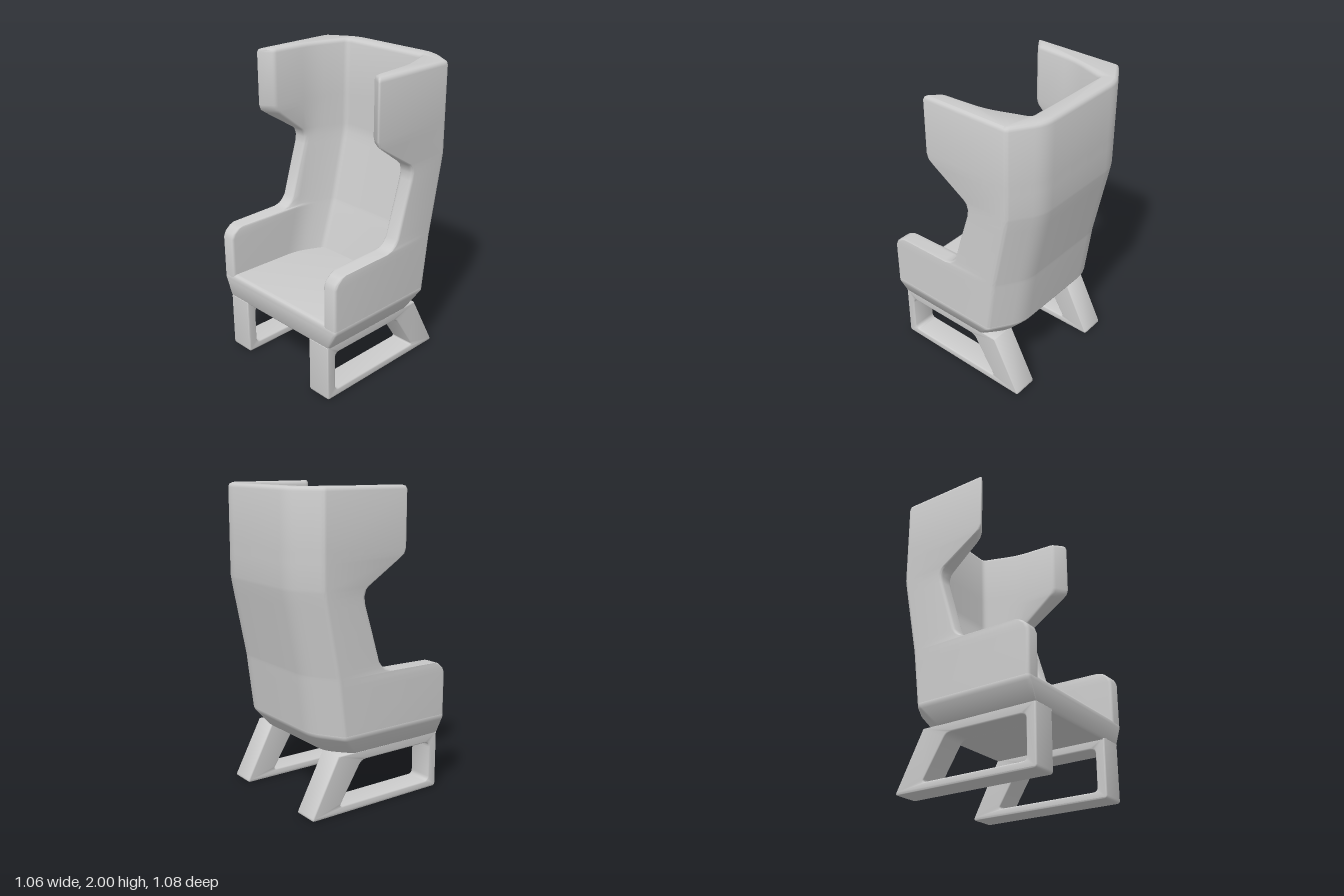
import * as THREE from 'three';
import { toCreasedNormals } from 'three/addons/utils/BufferGeometryUtils.js';

const material = new THREE.MeshStandardMaterial({ color: 0xcccccc });

// Linear lookup in a table of [y, value] pairs
function at(table, y) {
  if (y <= table[0][0]) return table[0][1];
  for (let i = 1; i < table.length; i++) {
    const [y0, a] = table[i - 1], [y1, b] = table[i];
    if (y <= y1) return a + (b - a) * (y - y0) / (y1 - y0);
  }
  return table[table.length - 1][1];
}

// Closed polygon of [x, z, radius] corners, each corner rounded with the same number of points
function roundLoop(corners, steps = 4) {
  const out = [], n = corners.length;
  corners.forEach(([x, z, r], i) => {
    const c = new THREE.Vector2(x, z);
    const ends = [corners[(i + n - 1) % n], corners[(i + 1) % n]].map(([px, pz]) => {
      const d = new THREE.Vector2(px, pz).sub(c);
      return c.clone().addScaledVector(d.clone().normalize(), Math.min(r, d.length() * 0.45));
    });
    const curve = new THREE.QuadraticBezierCurve(ends[0], c, ends[1]);
    out.push(...curve.getPoints(steps));
  });
  return out;
}

// Skin horizontal rings ({ y, loop }) with optional flat caps
function loft(rings, capTop, capBottom) {
  const n = rings[0].loop.length, positions = [], index = [];
  rings.forEach(({ y, loop }) => loop.forEach(p => positions.push(p.x, y, p.y)));
  for (let r = 0; r < rings.length - 1; r++) {
    for (let i = 0; i < n; i++) {
      const j = (i + 1) % n, a = r * n + i, b = r * n + j;
      index.push(a, b, b + n, a, b + n, a + n);
    }
  }
  const cap = (r, flip) => {
    const flat = rings[r].loop.map(p => new THREE.Vector2(p.x, -p.y));
    for (const [a, b, c] of THREE.ShapeUtils.triangulateShape(flat, [])) {
      index.push(r * n + a, r * n + (flip ? c : b), r * n + (flip ? b : c));
    }
  };
  if (capTop) cap(rings.length - 1, false);
  if (capBottom) cap(0, true);
  const g = new THREE.BufferGeometry();
  g.setAttribute('position', new THREE.Float32BufferAttribute(positions, 3));
  g.setIndex(index);
  return toCreasedNormals(g, 0.9);
}

// Height tables: outer half width, outer back, outer side/back corner
const halfWidth = [[0.37, 0.47], [0.5, 0.53]];
const backZ = [[0.37, -0.27], [0.5, -0.385], [0.54, -0.395], [0.88, -0.435], [1.36, -0.53], [1.42, -0.54]];
const cornerZ = [[0.37, -0.15], [0.5, -0.26], [0.88, -0.31], [1.36, -0.405], [1.42, -0.415]];
// Inner back, inner side knee, slant of the wing front
const innerBackZ = [[0.54, -0.18], [0.88, -0.29], [1.38, -0.405], [2, -0.42]];
const kneeZ = [[0.54, 0], [0.88, -0.09], [1.38, -0.18], [2, -0.17]];
const slant = [[1.42, 0], [1.6, 0.07]];
// Front edge of arms and wings as [y, z]
const frontEdge = [
  [0.52, 0.54], [0.8, 0.54], [0.835, 0.525], [0.865, 0.49], [0.876, 0.46], [0.88, 0.1],
  [0.892, 0.055], [0.915, 0.025], [0.95, 0], [1.15, -0.06], [1.31, -0.11], [1.36, -0.117],
  [1.4, -0.105], [1.42, -0.085], [1.57, 0.155], [1.595, 0.188], [1.63, 0.2], [1.975, 0.2],
  [1.993, 0.2], [2, 0.2],
];

// Outer half outline from front to back, then mirrored; e shrinks it
function outerCorners(y, zFront, e) {
  const w = at(halfWidth, y) - e;
  const right = [
    [w, zFront - e, 0.022],
    [w, at(cornerZ, y) + e * 0.5, 0.02],
    [0.335 - e * 0.5, at(backZ, y) + e, 0.07],
  ];
  return [...right, ...right.map(([x, z, r]) => [-x, z, r]).reverse()];
}

// U-shaped section of the shell
function shellLoop(y, zFront) {
  const e = at([[1.975, 0], [1.993, 0.006], [2, 0.02]], y);
  const innerRight = [
    [0.32 + e * 0.5, at(innerBackZ, y) - e, 0.03],
    [0.408 + e, at(kneeZ, y), 0.08],
    [0.43 + e, zFront - e - at(slant, y), 0.02],
  ];
  const innerLeft = innerRight.map(([x, z, r]) => [-x, z, r]).reverse();
  return roundLoop([...outerCorners(y, zFront, e), ...innerLeft, ...innerRight]);
}

function createShell() {
  const rings = frontEdge.map(([y, z]) => ({ y, loop: shellLoop(y, z) }));
  const mesh = new THREE.Mesh(loft(rings, true, false), material);
  mesh.name = 'wingbackShell';
  return mesh;
}

// Solid seat block, tapering in towards the legs
function createSeat() {
  const levels = [[0.37, 0.012], [0.385, 0], [0.485, 0], [0.5, 0], [0.52, 0], [0.534, 0.006], [0.54, 0.02]];
  const rings = levels.map(([y, e]) => ({ y, loop: roundLoop(outerCorners(y, 0.54, e)) }));
  const mesh = new THREE.Mesh(loft(rings, true, true), material);
  mesh.name = 'seat';
  return mesh;
}

// Sled leg frame, drawn in (z, y) and extruded across x
function createLegGeometry() {
  const outline = roundLoop([[0.54, 0.38, 0.001], [-0.265, 0.38, 0.001], [-0.465, 0, 0.025], [0.54, 0, 0.02]]);
  const opening = roundLoop([[0.475, 0.32, 0.035], [-0.085, 0.32, 0.035], [-0.255, 0.05, 0.02], [0.475, 0.05, 0.03]]);
  const shape = new THREE.Shape(outline);
  shape.holes.push(new THREE.Path(opening));
  const g = new THREE.ExtrudeGeometry(shape, {
    depth: 0.15, bevelEnabled: true, bevelSize: 0.01, bevelThickness: 0.01, bevelOffset: -0.01, bevelSegments: 3,
  });
  g.translate(0, 0, -0.075);
  g.rotateY(-Math.PI / 2);
  return toCreasedNormals(g, 0.9);
}

export function createModel() {
  const group = new THREE.Group();
  group.name = 'wingbackChair';
  group.add(createShell(), createSeat());
  const legGeometry = createLegGeometry();
  for (const [name, side] of [['leftLegFrame', 1], ['rightLegFrame', -1]]) {
    const leg = new THREE.Mesh(legGeometry, material);
    leg.name = name;
    leg.position.x = side * 0.383;
    group.add(leg);
  }
  return group;
}
